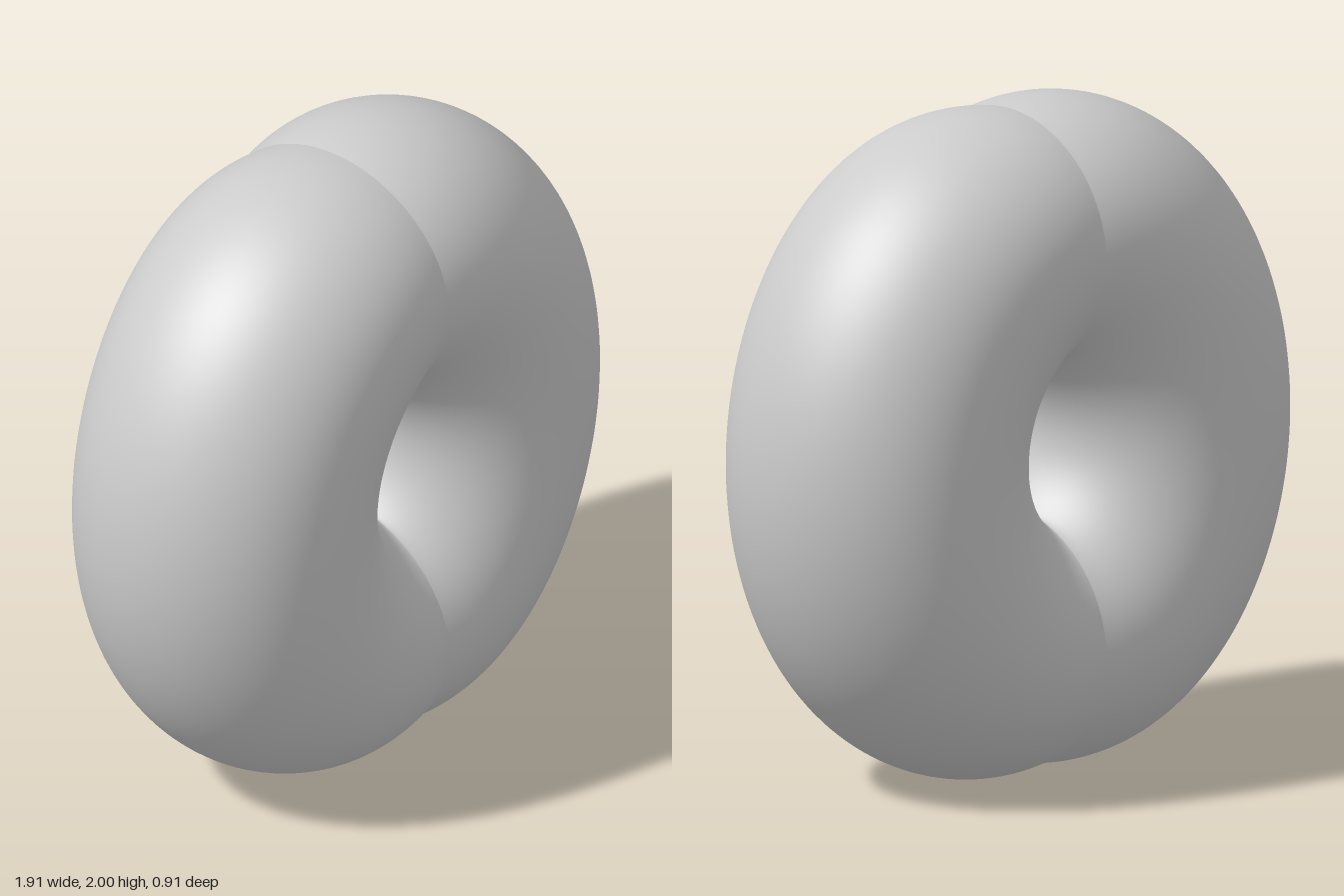
import * as THREE from 'three';

const ALONG = 120, AROUND = 96;
const END = Math.acos(-0.135 / 0.82); // sweep angle at which the outer rim meets x = 0

// One curved lobe: elliptical sections swept between an inner and an outer rim
function lobeGeometry() {
  const positions = [], indices = [];
  for (let i = 0; i <= ALONG; i++) {
    const a = END * (2 * i / ALONG - 1);
    const s = Math.sin(a / END * Math.PI / 2);
    const outer = new THREE.Vector2(0.135 + 0.82 * Math.cos(a), 1 + Math.sin(a));
    const inner = new THREE.Vector2(0.093 * (1 - s * s), 1 + 0.21 * s);
    const centre = inner.clone().add(outer).multiplyScalar(0.5);
    const half = outer.clone().sub(centre);
    // depth narrows slightly towards the seam
    const depth = 0.455 - 0.035 * Math.pow(Math.max(0, 1 - centre.x / 0.52), 3);
    for (let j = 0; j < AROUND; j++) {
      const b = j / AROUND * Math.PI * 2;
      positions.push(
        centre.x + half.x * Math.cos(b),
        centre.y + half.y * Math.cos(b),
        depth * Math.sin(b));
    }
  }
  for (let i = 0; i < ALONG; i++) {
    for (let j = 0; j < AROUND; j++) {
      const k = (j + 1) % AROUND;
      const p = i * AROUND + j, q = i * AROUND + k;
      const r = p + AROUND, t = q + AROUND;
      indices.push(p, r, q, q, r, t);
    }
  }
  const geometry = new THREE.BufferGeometry();
  geometry.setAttribute('position', new THREE.Float32BufferAttribute(positions, 3));
  geometry.setIndex(indices);
  geometry.computeVertexNormals();
  return geometry;
}

export function createModel() {
  const group = new THREE.Group();
  group.name = 'twoLobedRing';
  const material = new THREE.MeshStandardMaterial({ color: 0xcccccc, side: THREE.DoubleSide });
  const geometry = lobeGeometry();

  // Two equal lobes meet in a sharp seam at x = 0
  for (const [name, turn] of [['leftLobe', 0], ['rightLobe', Math.PI]]) {
    const lobe = new THREE.Mesh(geometry, material);
    lobe.name = name;
    lobe.rotation.y = turn;
    group.add(lobe);
  }
  return group;
}
